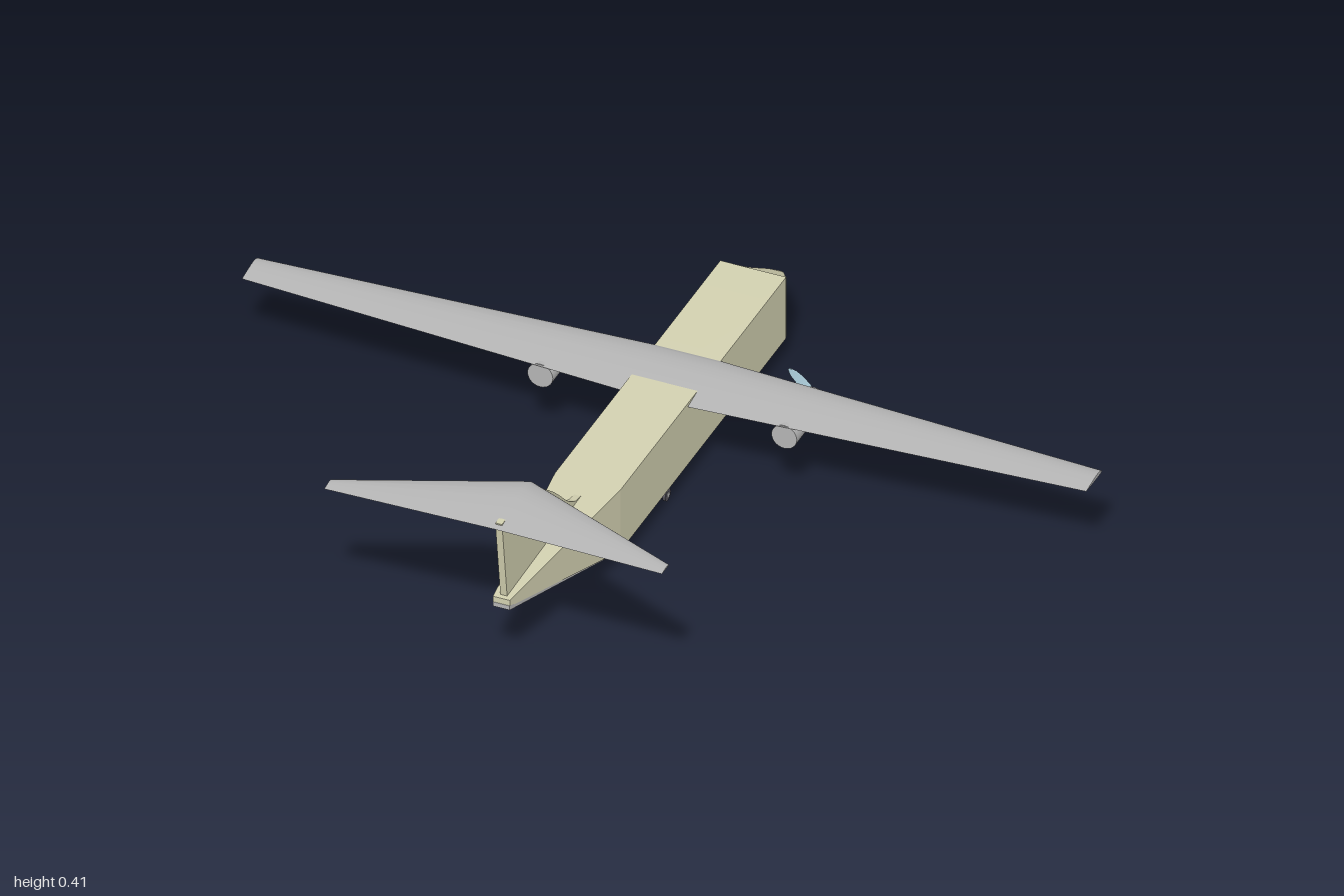
import * as THREE from 'three';
import { toCreasedNormals } from 'three/addons/utils/BufferGeometryUtils.js';

const mat = (name, color) => {
  const m = new THREE.MeshStandardMaterial({ color });
  m.name = name;
  return m;
};

// Skins a list of equal-length point rings, closes both ends, faces outward
function loft(rings, crease = 0.6) {
  const tris = [];
  const n = rings[0].length;
  for (let i = 0; i < rings.length - 1; i++) {
    for (let j = 0; j < n; j++) {
      const k = (j + 1) % n;
      const [a, b, c, d] = [rings[i][j], rings[i][k], rings[i + 1][k], rings[i + 1][j]];
      tris.push([a, b, c], [a, c, d]);
    }
  }
  const cap = (ring, flip) => {
    const mid = new THREE.Vector3();
    ring.forEach((p) => mid.addScaledVector(p, 1 / n));
    ring.forEach((p, j) => {
      const q = ring[(j + 1) % n];
      tris.push(flip ? [mid, q, p] : [mid, p, q]);
    });
  };
  cap(rings[0], true);
  cap(rings[rings.length - 1], false);
  let volume = 0;
  tris.forEach(([a, b, c]) => { volume += a.dot(b.clone().cross(c)); });
  if (volume < 0) tris.forEach((t) => t.reverse());
  const geo = new THREE.BufferGeometry().setFromPoints(tris.flat());
  return toCreasedNormals(geo, crease);
}

// Rectangular fuselage section
const rect = ([z, w, y0, y1]) => [
  new THREE.Vector3(-w, y0, z), new THREE.Vector3(w, y0, z),
  new THREE.Vector3(w, y1, z), new THREE.Vector3(-w, y1, z),
];

// Aerofoil as fractions of chord: position from the leading edge, height
const FOIL = [[0, 0], [0.04, 0.035], [0.12, 0.065], [0.28, 0.085], [0.45, 0.075], [0.7, 0.04],
  [1, -0.01], [0.7, -0.02], [0.4, -0.03], [0.15, -0.03], [0.04, -0.02]];
const foil = ([x, lead, trail, y]) => {
  const chord = trail - lead;
  return FOIL.map(([f, h]) => new THREE.Vector3(x, y + h * chord, lead + f * chord));
};

export function createModel() {
  const model = new THREE.Group();
  const cream = mat('cream skin', 0xd2d0b0);
  const grey = mat('grey metal', 0xb4b4b4);
  const blue = mat('propeller blue', 0x9fbfcc);
  const dark = mat('tyre grey', 0x55535a);

  const add = (name, geo, material, parent = model) => {
    const mesh = new THREE.Mesh(geo, material);
    mesh.name = name;
    parent.add(mesh);
    return mesh;
  };

  // Fuselage: nose, straight hold, tapering upswept tail
  add('nose', loft([
    [-0.771, 0.004, 0.104, 0.112], [-0.75, 0.018, 0.09, 0.126], [-0.7, 0.044, 0.061, 0.154],
    [-0.65, 0.069, 0.05, 0.19], [-0.627, 0.078, 0.047, 0.208],
  ].map(rect)), cream);
  add('fuselage', loft([
    [-0.627, 0.078, 0.047, 0.208], [0.258, 0.078, 0.047, 0.208], [0.72, 0.02, 0.176, 0.192],
  ].map(rect), 0.05), cream);

  // Cargo ramp lying along the sloping tail underside
  add('rampDoor', loft([
    [0.258, 0.075, 0.044, 0.051], [0.721, 0.02, 0.167, 0.178],
  ].map(rect)), grey);

  // Fin with a curved dorsal fillet
  const finShape = new THREE.Shape();
  finShape.moveTo(0.28, 0.2);
  finShape.lineTo(0.34, 0.211);
  finShape.quadraticCurveTo(0.37, 0.222, 0.41, 0.263);
  finShape.quadraticCurveTo(0.48, 0.335, 0.565, 0.385);
  finShape.lineTo(0.57, 0.398);
  finShape.lineTo(0.735, 0.398);
  finShape.lineTo(0.706, 0.18);
  finShape.lineTo(0.45, 0.18);
  const fin = new THREE.ExtrudeGeometry(finShape, { depth: 0.016, bevelEnabled: false, curveSegments: 6 });
  fin.translate(0, 0, -0.008).rotateY(-Math.PI / 2);
  add('fin', fin, cream);

  // Wing and tailplane
  add('wing', loft([
    [-1, -0.235, -0.15, 0.204], [-0.078, -0.285, -0.1, 0.201],
    [0.078, -0.285, -0.1, 0.201], [1, -0.235, -0.15, 0.204],
  ].map(foil)), grey);
  add('tailplane', loft([
    [-0.4, 0.727, 0.765, 0.397], [0, 0.555, 0.75, 0.394], [0.4, 0.727, 0.765, 0.397],
  ].map(foil)), grey);

  // Propeller blade: lens sections along x, pitched to the disc
  const blade = loft([
    [0.004, 0.008, 0.9], [0.025, 0.018, 0.6], [0.05, 0.022, 0.4], [0.07, 0.018, 0.3], [0.084, 0.006, 0.25],
  ].map(([x, chord, pitch]) => Array.from({ length: 8 }, (_, i) => {
    const t = (i / 8) * Math.PI * 2;
    const u = Math.cos(t) * chord / 2;
    const v = Math.sin(t) * 0.0015;
    return new THREE.Vector3(x, u * Math.cos(pitch) - v * Math.sin(pitch),
      u * Math.sin(pitch) + v * Math.cos(pitch));
  })));

  // Engines hung under the wing
  [['rightEngine', -0.278, 0.12], ['leftEngine', 0.3, -0.69]].forEach(([name, x, angle]) => {
    const engine = new THREE.Group();
    engine.name = name;
    engine.position.set(x, 0.173, 0);
    model.add(engine);
    const body = add('nacelle', new THREE.CylinderGeometry(0.03, 0.03, 0.16, 32), grey, engine);
    body.rotation.x = Math.PI / 2;
    body.position.z = -0.195;
    const hub = add('spinner', new THREE.CylinderGeometry(0.008, 0.004, 0.018, 16), grey, engine);
    hub.rotation.x = Math.PI / 2;
    hub.position.z = -0.283;
    const propeller = new THREE.Group();
    propeller.name = 'propeller';
    propeller.position.z = -0.286;
    propeller.rotation.z = angle;
    engine.add(propeller);
    [0, Math.PI].forEach((turn) => {
      add('propellerBlade', blade, blue, propeller).rotation.z = turn;
    });
  });

  // Undercarriage: twin wheels on a leg with a slanted brace
  const wheelGeo = new THREE.CylinderGeometry(0.015, 0.015, 0.007, 20).rotateZ(Math.PI / 2);
  const capGeo = new THREE.CylinderGeometry(0.006, 0.006, 0.009, 12).rotateZ(Math.PI / 2);
  const axleGeo = new THREE.CylinderGeometry(0.0025, 0.0025, 0.022, 8).rotateZ(Math.PI / 2);
  const legGeo = new THREE.CylinderGeometry(0.0035, 0.0035, 0.036, 10);
  const braceGeo = new THREE.CylinderGeometry(0.002, 0.002, 0.028, 8);
  [['noseGear', 0, -0.647], ['rightMainGear', -0.053, -0.021], ['leftMainGear', 0.053, -0.021]]
    .forEach(([name, x, z]) => {
      const gear = new THREE.Group();
      gear.name = name;
      gear.position.set(x, 0.015, z);
      model.add(gear);
      for (const side of [-1, 1]) {
        add('wheel', wheelGeo, dark, gear).position.x = side * 0.01;
        add('wheelCap', capGeo, grey, gear).position.x = side * 0.01;
      }
      add('axle', axleGeo, grey, gear);
      const leg = add('leg', legGeo, grey, gear);
      leg.position.set(0, 0.018, -0.002);
      leg.rotation.x = -0.15;
      const brace = add('brace', braceGeo, grey, gear);
      brace.position.set(0, 0.025, -0.01);
      brace.rotation.x = -0.8;
    });

  return model;
}
